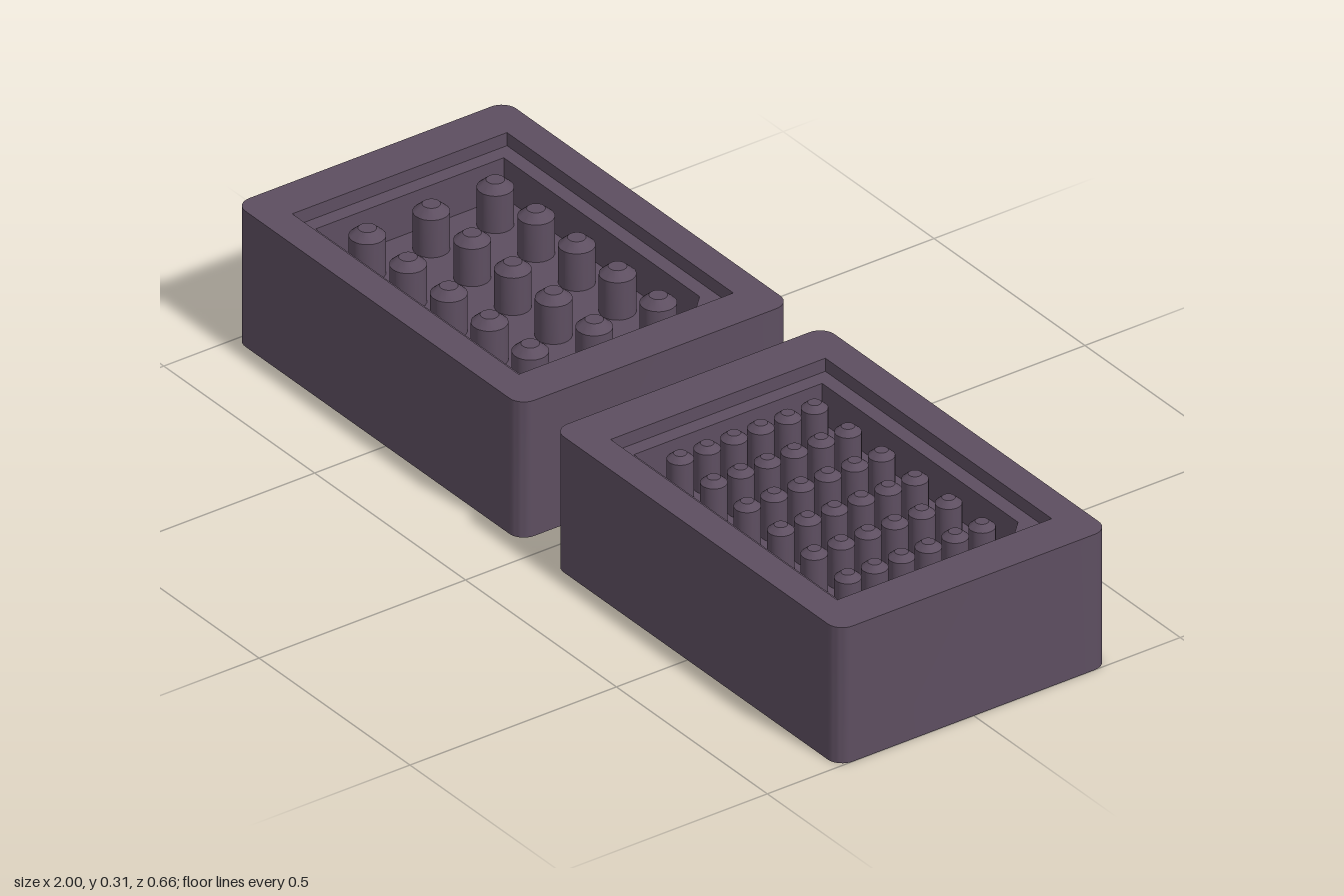
import * as THREE from 'three';
import { toCreasedNormals } from 'three/addons/utils/BufferGeometryUtils.js';

const material = new THREE.MeshStandardMaterial({ color: 0x5d4e60 });

// Heights: block top, ledge around the pocket, pocket floor, peg tops
const TOP = 0.31, LEDGE = 0.28, FLOOR = 0.19, PEG_TOP = 0.292;

// Outlines run counter-clockwise, with shape y pointing to the back (-z)
function roundedOutline(w, d, r) {
  const pts = [];
  [[1, 1], [-1, 1], [-1, -1], [1, -1]].forEach(([sx, sy], corner) => {
    for (let i = 0; i <= 8; i++) {
      const a = (corner + i / 8) * Math.PI / 2;
      pts.push(new THREE.Vector2(sx * (w - r) + r * Math.cos(a), sy * (d - r) + r * Math.sin(a)));
    }
  });
  return pts;
}

// Rectangle with an optional cut at the back left corner
function cutOutline(w, d, cut = 0) {
  const pts = [[-w, -d], [w, -d]];
  if (cut) pts.push([w, d - cut], [w - cut, d]);
  else pts.push([w, d]);
  pts.push([-w, d]);
  return pts.map(([x, y]) => new THREE.Vector2(x, y));
}

// Vertical band along an outline, facing out or into a pocket
function wall(name, pts, y0, y1, inward = false) {
  const v = [];
  pts.forEach((a, i) => {
    const b = pts[(i + 1) % pts.length];
    const [p, q] = inward ? [b, a] : [a, b];
    v.push(p.x, y0, -p.y, q.x, y0, -q.y, q.x, y1, -q.y);
    v.push(p.x, y0, -p.y, q.x, y1, -q.y, p.x, y1, -p.y);
  });
  const g = new THREE.BufferGeometry();
  g.setAttribute('position', new THREE.Float32BufferAttribute(v, 3));
  const mesh = new THREE.Mesh(toCreasedNormals(g, 0.6), material);
  mesh.name = name;
  return mesh;
}

// Horizontal face, optionally with an opening
function face(name, pts, y, hole, down = false) {
  const shape = new THREE.Shape(pts);
  if (hole) shape.holes.push(new THREE.Path(hole));
  const g = new THREE.ShapeGeometry(shape);
  g.rotateX(down ? Math.PI / 2 : -Math.PI / 2);
  const mesh = new THREE.Mesh(g, material);
  mesh.name = name;
  mesh.position.y = y;
  return mesh;
}

// Round peg with a bevelled top
function pegGeometry(r) {
  const h = PEG_TOP - FLOOR;
  const profile = [[r, 0], [r, h - r * 0.45], [r * 0.5, h], [0, h]];
  const g = new THREE.LatheGeometry(profile.map(([x, y]) => new THREE.Vector2(x, y)), 24);
  return toCreasedNormals(g, 0.5);
}

function block(name, { columns, rows, stepX, stepZ, radius }) {
  const group = new THREE.Group();
  group.name = name;
  const outer = roundedOutline(0.4725, 0.328, 0.035);
  const recess = cutOutline(0.375, 0.26);
  const pocket = cutOutline(0.342, 0.228, 0.035);

  group.add(
    wall('outerWall', outer, 0, TOP),
    face('base', outer, 0, null, true),
    face('rim', outer, TOP, recess),
    wall('recessWall', recess, LEDGE, TOP, true),
    face('ledge', recess, LEDGE, pocket),
    wall('pocketWall', pocket, FLOOR, LEDGE, true),
    face('pocketFloor', pocket, FLOOR),
  );

  const geometry = pegGeometry(radius);
  for (let i = 0; i < columns; i++) {
    for (let j = 0; j < rows; j++) {
      const peg = new THREE.Mesh(geometry, material);
      peg.name = 'peg';
      peg.position.set((i - (columns - 1) / 2) * stepX, FLOOR, (j - (rows - 1) / 2) * stepZ);
      group.add(peg);
    }
  }
  return group;
}

export function createModel() {
  const model = new THREE.Group();
  model.name = 'pegBlocks';
  const right = block('largePegBlock', { columns: 5, rows: 3, stepX: 0.135, stepZ: 0.155, radius: 0.037 });
  const left = block('smallPegBlock', { columns: 6, rows: 6, stepX: 0.111, stepZ: 0.065, radius: 0.027 });
  right.position.x = -0.5275;
  left.position.x = 0.5275;
  model.add(right, left);
  return model;
}
